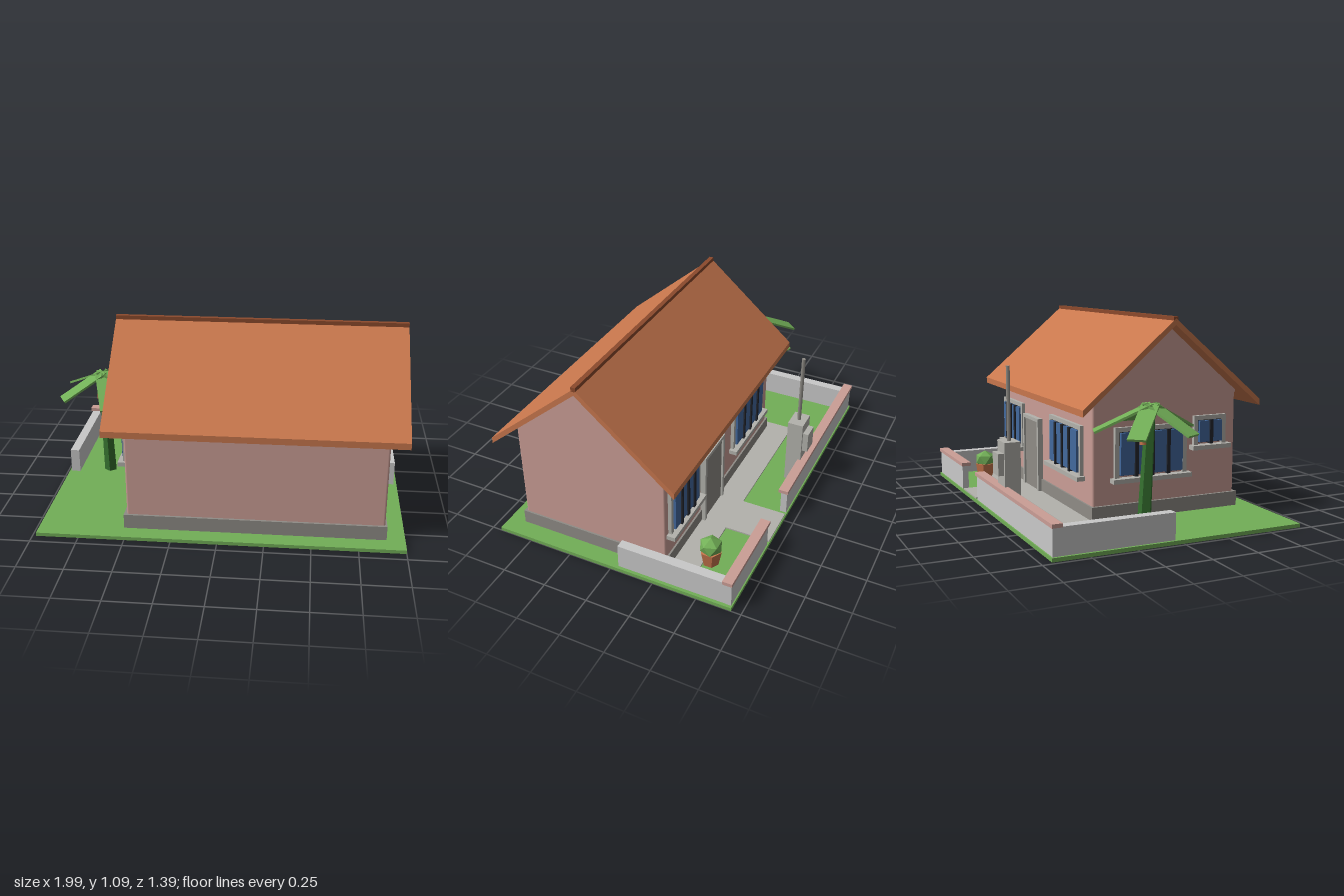
import * as THREE from 'three';
import { RoundedBoxGeometry } from 'three/addons/geometries/RoundedBoxGeometry.js';

const mat = (name, color) => {
  const m = new THREE.MeshStandardMaterial({ color });
  m.name = name;
  return m;
};

export function createModel() {
  const model = new THREE.Group();
  model.name = 'house';
  const pink = mat('pink plaster', 0xcb9e96);
  const tile = mat('terracotta', 0xc8774d);
  const ridgeBrown = mat('ridge brown', 0x8c4a2c);
  const green = mat('leaf green', 0x72af57);
  const trunkGreen = mat('trunk green', 0x35702f);
  const lightGrey = mat('light grey', 0xc9c9c9);
  const concrete = mat('concrete', 0xb3b2ac);
  const stone = mat('dark stone', 0x8f8c86);
  const glass = mat('window blue', 0x43699e);
  const dark = mat('dark bars', 0x24272e);

  const add = (name, geo, material, parent = model) => {
    const m = new THREE.Mesh(geo, material);
    m.name = name;
    parent.add(m);
    return m;
  };
  // Box given by its limits on each axis
  const box = (name, material, x0, x1, y0, y1, z0, z1, parent) => {
    const m = add(name, new THREE.BoxGeometry(x1 - x0, y1 - y0, z1 - z0), material, parent);
    m.position.set((x0 + x1) / 2, (y0 + y1) / 2, (z0 + z1) / 2);
    return m;
  };
  // Profile of [z, y] points extruded along x
  const alongX = (name, material, points, x0, x1) => {
    const shape = new THREE.Shape(points.map(([z, y]) => new THREE.Vector2(-z, y)));
    const geo = new THREE.ExtrudeGeometry(shape, { depth: x1 - x0, bevelEnabled: false });
    geo.rotateY(Math.PI / 2).translate(x0, 0, 0);
    return add(name, geo, material);
  };

  // Ground and paths
  box('lawn', green, -0.98, 1, 0, 0.02, -0.695, 0.695);
  box('terracePath', concrete, -0.565, 0.93, 0.02, 0.028, -0.435, -0.27);
  box('gatePath', concrete, 0.225, 0.47, 0.02, 0.028, -0.69, -0.435);

  // House body with slightly bevelled edges
  box('plinth', stone, -0.515, 0.9, 0.02, 0.1, -0.287, 0.6);
  const walls = add('walls', new RoundedBoxGeometry(1.39, 0.612, 0.864, 1, 0.012), pink);
  walls.position.set(0.195, 0.366, 0.155);
  alongX('gable', pink, [[0.587, 0.66], [0.587, 0.675], [0.155, 1.045], [-0.277, 0.675], [-0.277, 0.66]], -0.5, 0.89);

  // Roof
  alongX('roof', tile, [[0.683, 0.595], [0.683, 0.63], [0.155, 1.08], [-0.373, 0.63], [-0.373, 0.595], [0.155, 1.045]], -0.6, 0.98);
  box('ridgeCap', ridgeBrown, -0.6, 0.98, 1.066, 1.09, 0.142, 0.168);

  // Window built facing +z, then placed on a wall
  const addWindow = (name, width, y0, y1, bars, x, z, turn) => {
    const g = new THREE.Group();
    g.name = name;
    const w = width / 2;
    const t = 0.024;
    box('frameBack', dark, -w + t, w - t, y0 + 0.01, y1 - t, 0, 0.012, g);
    for (const s of [-1, 1]) {
      const c = s * (w - t / 2);
      box('frameSide', concrete, c - t / 2, c + t / 2, y0, y1, -0.005, 0.02, g);
    }
    box('frameTop', concrete, -w, w, y1 - t, y1, -0.005, 0.02, g);
    box('pane', glass, -w + t + 0.006, w - t - 0.006, y0 + 0.015, y1 - t - 0.005, 0, 0.03, g);
    for (let i = 1; i <= bars; i++) {
      const c = -w + t + (i * (width - 2 * t)) / (bars + 1);
      box('mullion', dark, c - 0.01, c + 0.01, y0 + 0.005, y1 - t, 0.012, 0.038, g);
    }
    box('sill', concrete, -w - 0.02, w + 0.02, y0 - 0.024, y0, -0.005, 0.048, g);
    g.position.set(x, 0, z);
    g.rotation.y = turn;
    model.add(g);
  };
  addWindow('smallFacadeWindow', 0.345, 0.243, 0.513, 3, 0.688, -0.277, Math.PI);
  addWindow('wideFacadeWindow', 0.445, 0.243, 0.513, 3, -0.163, -0.277, Math.PI);
  addWindow('sideWindow', 0.43, 0.243, 0.513, 3, -0.5, 0.06, -Math.PI / 2);
  addWindow('bathroomWindow', 0.2, 0.385, 0.545, 1, -0.5, 0.42, -Math.PI / 2);

  // Door
  for (const [a, b] of [[0.215, 0.235], [0.45, 0.47]]) box('doorJamb', concrete, a, b, 0.028, 0.46, -0.308, -0.27);
  box('doorLintel', concrete, 0.215, 0.47, 0.44, 0.46, -0.308, -0.27);
  box('door', stone, 0.235, 0.45, 0.028, 0.44, -0.297, -0.27);

  // Garden walls; the street side has a coping and a gate opening
  for (const [a, b] of [[-0.98, 0.215], [0.48, 0.995]]) {
    box('streetWall', lightGrey, a + 0.012, b - 0.012, 0.02, 0.16, -0.688, -0.652);
    box('coping', pink, a, b, 0.16, 0.18, -0.695, -0.64);
  }
  for (const [a, b] of [[-0.967, -0.915], [0.93, 0.982]]) box('sideWall', lightGrey, a, b, 0.02, 0.16, -0.688, -0.04);

  // Meter cabinet with mast
  box('meterCabinet', concrete, -0.21, -0.088, 0.02, 0.42, -0.657, -0.567);
  box('meterBox', concrete, -0.195, -0.103, 0.24, 0.36, -0.689, -0.657);
  const mast = add('mast', new THREE.CylinderGeometry(0.011, 0.011, 0.405, 6), stone);
  mast.position.set(-0.15, 0.6225, -0.612);

  // Potted shrub
  const pot = add('pot', new THREE.CylinderGeometry(0.062, 0.045, 0.09, 6).toNonIndexed(), tile);
  pot.geometry.computeVertexNormals();
  pot.position.set(0.745, 0.065, -0.467);
  const shrub = add('shrub', new THREE.IcosahedronGeometry(0.066, 0).rotateX(-1.0172).scale(1, 0.82, 1), green);
  shrub.geometry.computeVertexNormals();
  shrub.position.set(0.745, 0.136, -0.467);

  // Banana plant: leaning faceted trunk, flat drooping leaves, one hanging bud
  const plant = new THREE.Group();
  plant.name = 'bananaPlant';
  model.add(plant);
  const up = new THREE.Vector3(0, 1, 0);
  const base = new THREE.Vector3(-0.735, 0.02, -0.095);
  const crown = new THREE.Vector3(-0.745, 0.665, -0.065);
  const stem = crown.clone().sub(base);
  const trunkGeo = new THREE.CylinderGeometry(0.027, 0.038, stem.length(), 5).toNonIndexed();
  trunkGeo.computeVertexNormals();
  const trunk = add('trunk', trunkGeo, trunkGreen, plant);
  trunk.position.copy(base).add(crown).multiplyScalar(0.5);
  trunk.quaternion.setFromUnitVectors(up, stem.clone().normalize());
  const tips = [[-0.96, 0.53, -0.255], [-0.645, 0.53, -0.335], [-0.5, 0.55, -0.06], [-0.665, 0.53, 0.19], [-0.965, 0.53, 0.055]];
  for (const tip of tips) {
    const end = new THREE.Vector3(...tip);
    const leaf = add('leaf', new THREE.BoxGeometry(0.094, 0.012, end.distanceTo(crown)), green, plant);
    leaf.position.copy(crown).add(end).multiplyScalar(0.5);
    leaf.lookAt(end);
  }
  const bud = add('bud', new THREE.CylinderGeometry(0.012, 0.018, 0.09, 5), tile, plant);
  bud.position.set(-0.783, 0.515, -0.13);
  bud.rotation.z = -0.1;

  return model;
}
